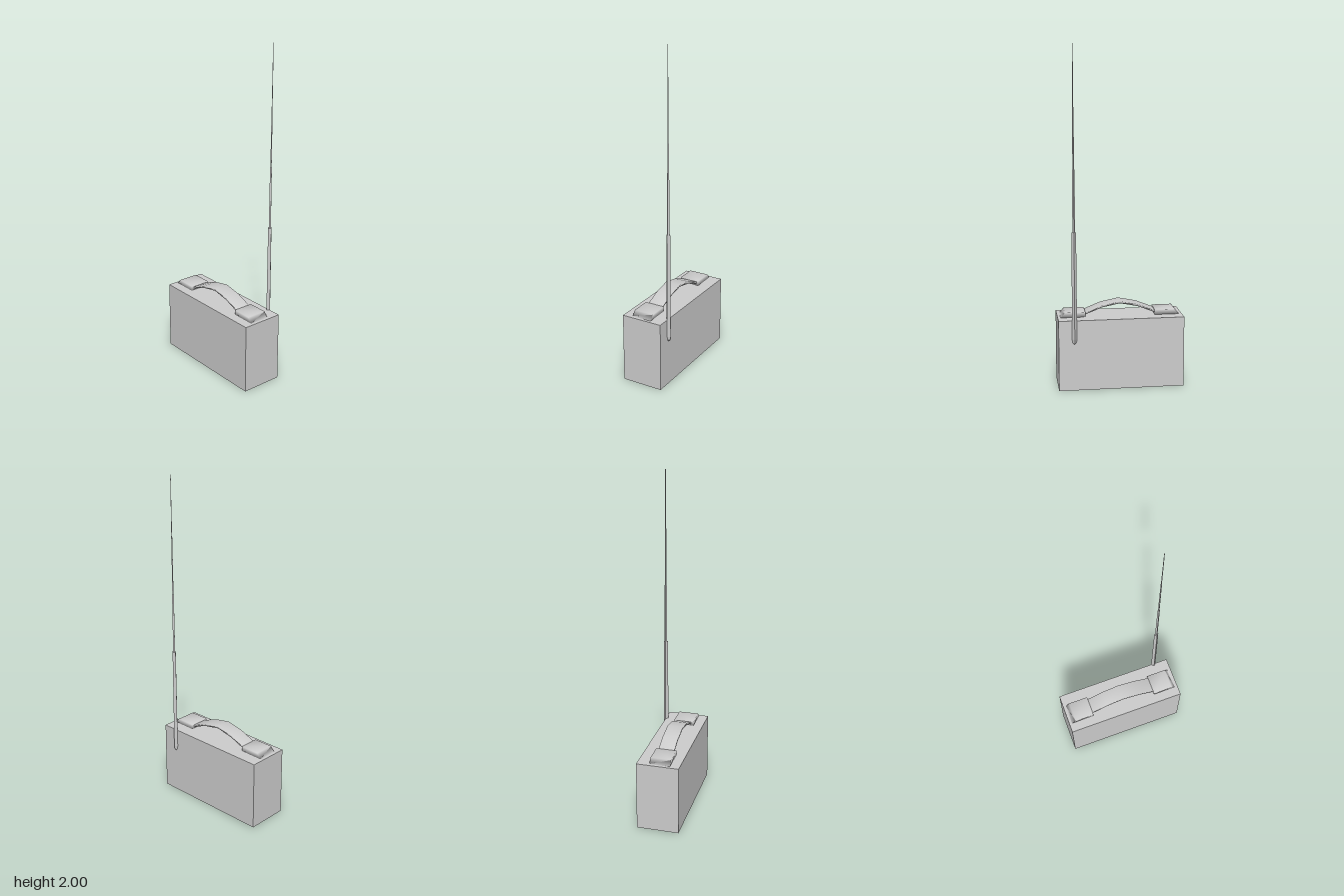
import * as THREE from 'three';
import { mergeVertices } from 'three/addons/utils/BufferGeometryUtils.js';

const grey = new THREE.MeshStandardMaterial({ color: 0xcccccc });
const flatGrey = new THREE.MeshStandardMaterial({ color: 0xcccccc, flatShading: true });

// Weld a box, move its vertices by a rule and shade it smoothly
function shapedBox(w, h, d, segments, rule) {
  let geo = new THREE.BoxGeometry(w, h, d, segments, 1, 1);
  geo.deleteAttribute('normal');
  geo.deleteAttribute('uv');
  geo = mergeVertices(geo);
  const p = geo.attributes.position;
  const v = new THREE.Vector3();
  for (let i = 0; i < p.count; i++) {
    rule(v.fromBufferAttribute(p, i));
    p.setXYZ(i, v.x, v.y, v.z);
  }
  geo.computeVertexNormals();
  return geo;
}

export function createModel() {
  const model = new THREE.Group();
  const add = (name, geo, mat, x, y, z) => {
    const mesh = new THREE.Mesh(geo, mat);
    mesh.name = name;
    mesh.position.set(x, y, z);
    model.add(mesh);
  };

  // Case
  add('case', new THREE.BoxGeometry(0.74, 0.42, 0.253), grey, 0, 0.21, 0.0065);

  // Handle mounts, with a sloped outer end
  for (const side of [-1, 1]) {
    const geo = shapedBox(0.146, 0.03, 0.123, 1, (v) => {
      if (v.y > 0 && v.x * side > 0) v.x -= side * 0.026;
    });
    add(side > 0 ? 'leftHandleMount' : 'rightHandleMount', geo, grey, side * 0.28, 0.435, 0.0165);
  }

  // Arched carrying handle
  const arch = [0.436, 0.478, 0.499, 0.478, 0.436];
  const handle = shapedBox(0.424, 0.012, 0.094, 4, (v) => {
    v.y += arch[Math.round(v.x / 0.106) + 2];
  });
  add('handle', handle, grey, 0, 0, 0.0145);

  // Four-sided telescopic antenna
  const profile = [
    [0, 0.278], [0.011, 0.288], [0.015, 0.31], [0.013, 0.94], [0.008, 0.94],
    [0.007, 1.3], [0.005, 1.3], [0.004, 1.65], [0.003, 1.65], [0.002, 2], [0, 2],
  ].map(([r, y]) => new THREE.Vector2(r, y));
  add('antenna', new THREE.LatheGeometry(profile, 4), flatGrey, 0.278, 0, -0.12);

  return model;
}
